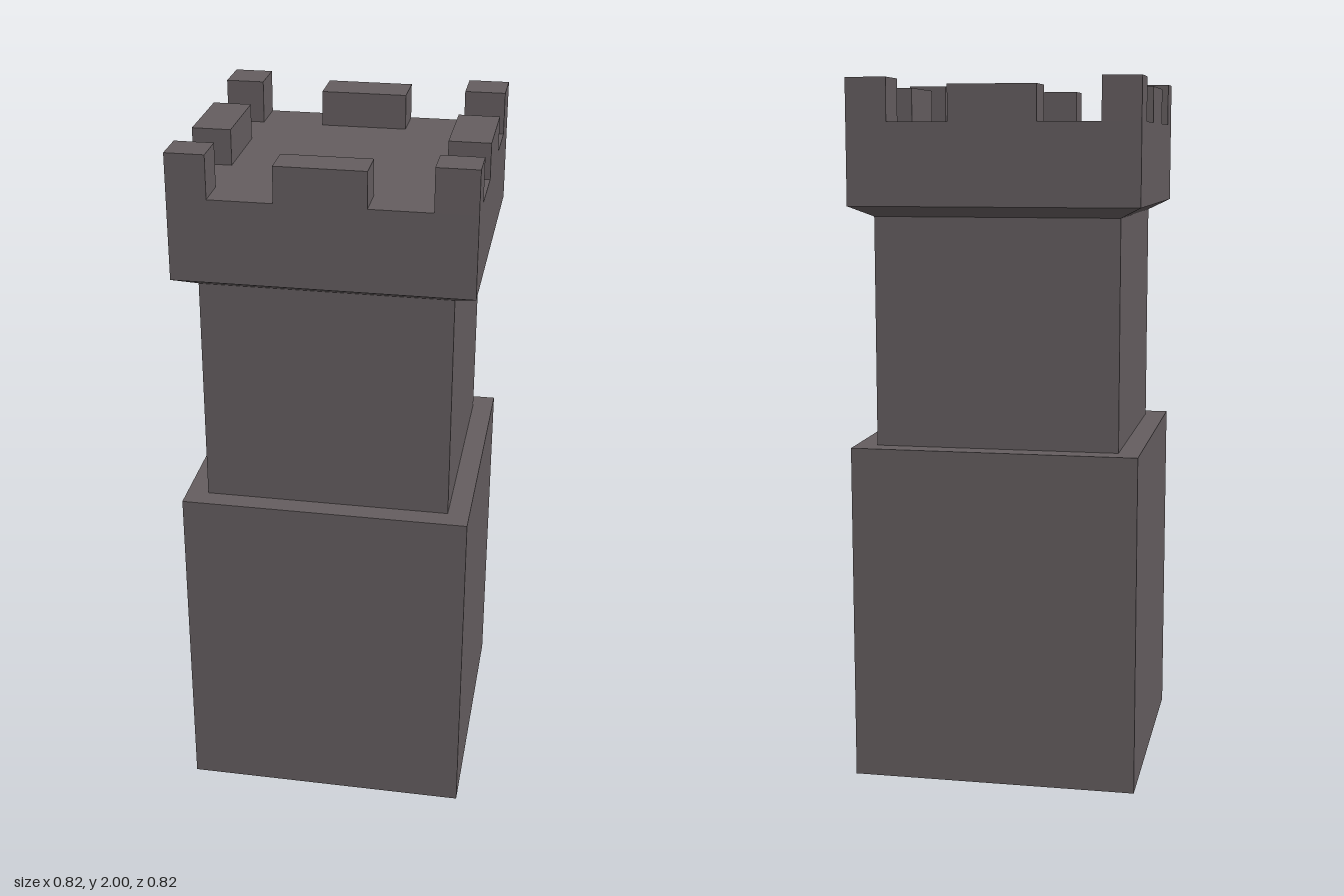
import * as THREE from 'three';

export function createModel() {
  const tower = new THREE.Group();
  tower.name = 'tower';
  const stone = new THREE.MeshStandardMaterial({ color: 0x645d5f });
  stone.name = 'dark stone';

  const OUT = 0.408;   // half width of base and parapet
  const SHAFT = 0.347; // half width of the upper shaft
  const DECK = 1.88;   // height of the roof deck

  // Box given by its limits on each axis
  function block(name, [x0, x1], [y0, y1], [z0, z1]) {
    const mesh = new THREE.Mesh(new THREE.BoxGeometry(x1 - x0, y1 - y0, z1 - z0), stone);
    mesh.position.set((x0 + x1) / 2, (y0 + y1) / 2, (z0 + z1) / 2);
    mesh.name = name;
    tower.add(mesh);
  }

  // Stacked body
  block('base', [-OUT, OUT], [0, 0.97], [-OUT, OUT]);
  block('shaft', [-SHAFT, SHAFT], [0.97, 1.62], [-SHAFT, SHAFT]);
  block('parapet', [-OUT, OUT], [1.65, DECK], [-OUT, OUT]);

  // Sloped corbel: an open four-sided frustum between shaft and parapet
  const flare = new THREE.CylinderGeometry(OUT * Math.SQRT2, SHAFT * Math.SQRT2, 0.03, 4, 1, true)
    .rotateY(Math.PI / 4).toNonIndexed();
  flare.computeVertexNormals();
  const corbel = new THREE.Mesh(flare, stone);
  corbel.position.y = 1.635;
  corbel.name = 'corbel';
  tower.add(corbel);

  // Merlons: taller at the corners, lower and wider in the middle of each side
  const xs = [[-OUT, -0.3], [-0.124, 0.122], [0.293, OUT]];
  const zs = [[-OUT, -0.287], [-0.123, 0.123], [0.305, OUT]];
  xs.forEach((x, i) => zs.forEach((z, j) => {
    if (i === 1 && j === 1) return;
    const corner = i !== 1 && j !== 1;
    block(corner ? 'cornerMerlon' : 'sideMerlon', x, [DECK, corner ? 2 : 1.98], z);
  }));

  return tower;
}
